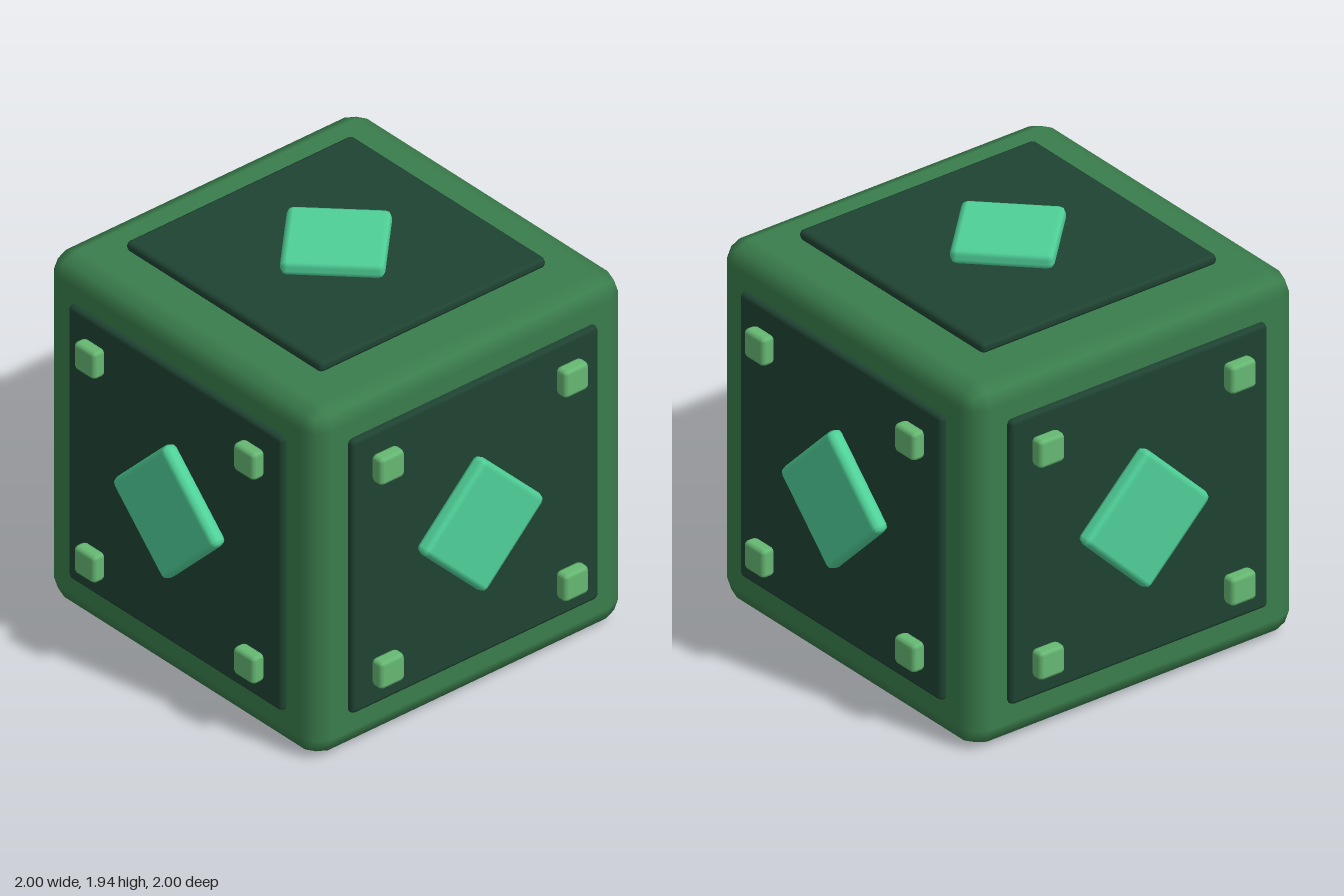
import * as THREE from 'three';
import { RoundedBoxGeometry } from 'three/addons/geometries/RoundedBoxGeometry.js';

const material = (color) => new THREE.MeshStandardMaterial({ color });

export function createModel() {
  const model = new THREE.Group();
  model.name = 'ornamentedCube';

  const bodyMat = material(0x3a7d4c);
  const panelMat = material(0x1f4332);
  const gemMat = material(0x4fd098);
  const studMat = material(0x66b873);

  // Softly bevelled block
  function block(name, parent, mat, [w, h, d], radius, [x, y, z]) {
    const mesh = new THREE.Mesh(new RoundedBoxGeometry(w, h, d, 1, radius), mat);
    mesh.name = name;
    mesh.position.set(x, y, z);
    parent.add(mesh);
    return mesh;
  }

  // Main cube
  block('body', model, bodyMat, [1.8, 1.8, 1.8], 0.1, [0, 0.9, 0]);

  // Four decorated sides: panel, diamond gem and corner studs
  ['front', 'left', 'back', 'right'].forEach((label, i) => {
    const side = new THREE.Group();
    side.name = `${label}Side`;
    side.position.y = 0.91;
    side.rotation.y = i * Math.PI / 2;
    block('panel', side, panelMat, [1.42, 1.42, 0.05], 0.02, [0, 0, 0.905]);
    block('diamond', side, gemMat, [0.5, 0.5, 0.08], 0.03, [0, 0, 0.96]).rotation.z = Math.PI / 4;
    for (const sx of [-1, 1]) {
      for (const sy of [-1, 1]) {
        block('stud', side, studMat, [0.14, 0.14, 0.07], 0.02, [sx * 0.53, sy * 0.53, 0.96]);
      }
    }
    model.add(side);
  });

  // Lid panel and gem on top
  block('topPanel', model, panelMat, [1.3, 0.05, 1.3], 0.02, [0, 1.836, 0]);
  block('topDiamond', model, gemMat, [0.46, 0.08, 0.46], 0.03, [0, 1.897, 0]).rotation.y = Math.PI / 4;

  return model;
}
